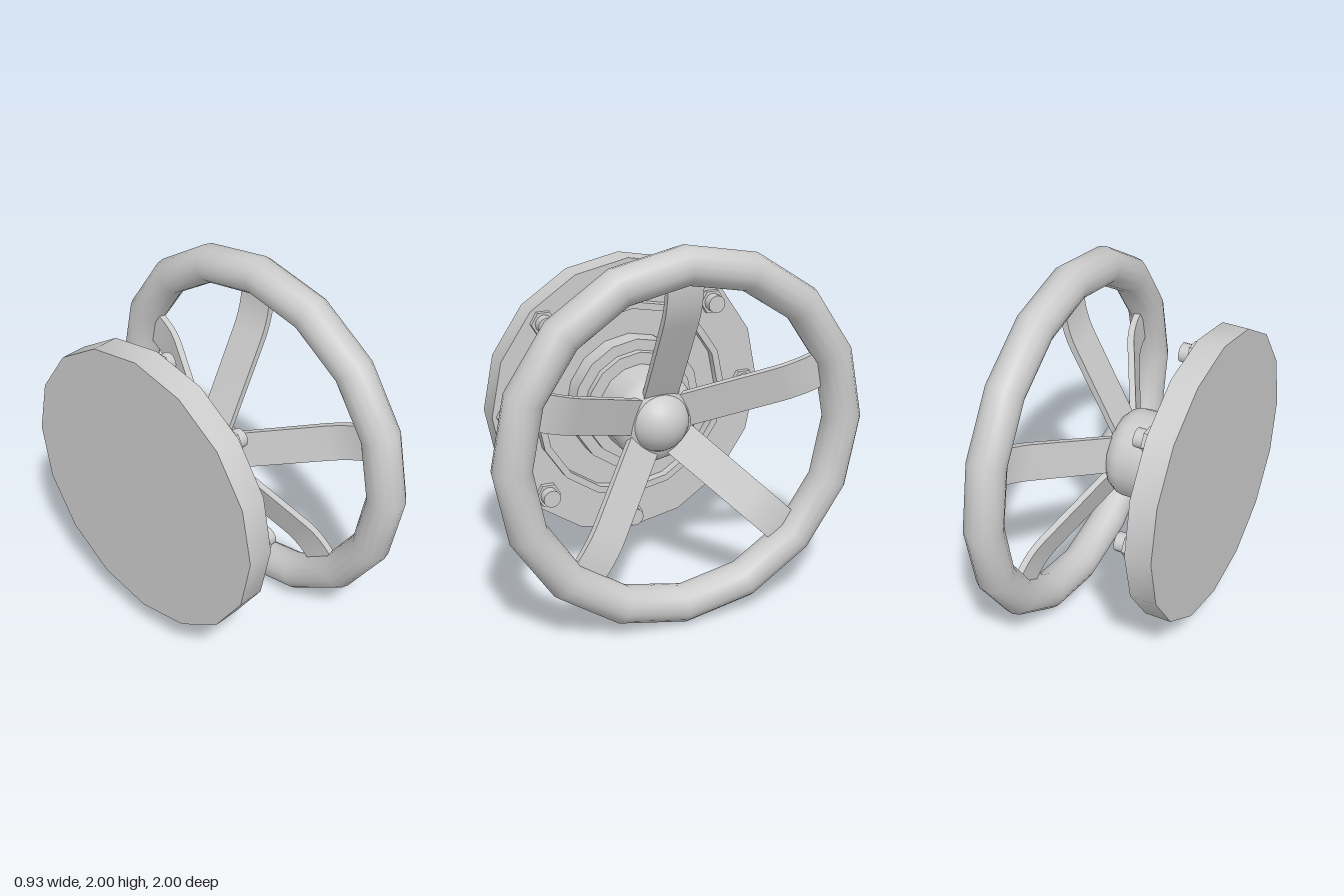
import * as THREE from 'three';
import { toCreasedNormals } from 'three/addons/utils/BufferGeometryUtils.js';

const SIDES = 16;
const deg = THREE.MathUtils.degToRad;

export function createModel() {
  const model = new THREE.Group();
  model.name = 'valveHandwheel';
  const material = new THREE.MeshStandardMaterial({ color: 0xcccccc });

  // Everything is built around the x axis, then lifted by one unit
  const assembly = new THREE.Group();
  assembly.name = 'assembly';
  assembly.position.y = 1;
  model.add(assembly);

  function add(name, geometry, parent = assembly) {
    const mesh = new THREE.Mesh(geometry, material);
    mesh.name = name;
    parent.add(mesh);
    return mesh;
  }

  // Revolve [x, radius] pairs, listed from low x to high x, around the x axis
  function turned(profile, sides = SIDES) {
    const points = profile.map(([x, r]) => new THREE.Vector2(r, x));
    const geometry = new THREE.LatheGeometry(points, sides);
    geometry.rotateZ(-Math.PI / 2);
    return toCreasedNormals(geometry, 0.6);
  }

  // Mounting flange and the raised lip on its face
  add('flange', turned([[-0.47, 0], [-0.47, 0.77], [-0.33, 0.77], [-0.33, 0]]));
  add('flangeLip', turned([[-0.34, 0.545], [-0.28, 0.545], [-0.28, 0.508], [-0.34, 0.508]]));

  // Stepped collar
  add('collar', turned([
    [-0.34, 0.36], [-0.22, 0.36], [-0.22, 0.30], [-0.18, 0.30], [-0.18, 0.2],
  ]));

  // Hub with a rounded shoulder
  add('hub', turned([
    [-0.19, 0.235], [0, 0.235], [0.03, 0.229], [0.06, 0.212],
    [0.085, 0.185], [0.098, 0.15], [0.1, 0.1], [0.1, 0],
  ]));

  // Domed nose in the middle of the spokes
  const nose = add('nose', new THREE.SphereGeometry(0.165, 24, 16));
  nose.position.x = 0.035;

  // Handwheel rim
  const rim = new THREE.TorusGeometry(0.9, 0.1, 14, SIDES);
  rim.rotateY(Math.PI / 2);
  add('rim', rim).position.x = 0.365;

  // Spoke: a flat strap leaning outwards, then bending into the rim
  const strap = new THREE.Shape();
  strap.moveTo(0.06, 0.09);
  strap.lineTo(0.315, 0.58);
  strap.quadraticCurveTo(0.375, 0.70, 0.375, 0.84);
  strap.lineTo(0.34, 0.84);
  strap.quadraticCurveTo(0.34, 0.71, 0.285, 0.60);
  strap.lineTo(0.025, 0.09);
  strap.closePath();
  const strapGeometry = new THREE.ExtrudeGeometry(strap, {
    depth: 0.19, bevelEnabled: false, curveSegments: 6,
  });
  strapGeometry.translate(0, 0, -0.095);
  const spokeGeometry = toCreasedNormals(strapGeometry, 0.5);

  // Spokes are slightly uneven around the axis
  [0, 70, 140, 225, 290].forEach((angle) => {
    add('spoke', spokeGeometry).rotation.x = deg(angle);
  });

  // Eight bolts around the flange: hexagonal nut and round stud
  const nutGeometry = turned([[-0.34, 0], [-0.34, 0.068], [-0.302, 0.068], [-0.302, 0]], 6);
  const studGeometry = turned([[-0.33, 0.048], [-0.25, 0.048], [-0.25, 0]], 14);
  for (let i = 0; i < 8; i++) {
    const bolt = new THREE.Group();
    bolt.name = 'bolt';
    const a = (i * Math.PI) / 4;
    bolt.position.set(0, 0.68 * Math.cos(a), 0.68 * Math.sin(a));
    add('nut', nutGeometry, bolt);
    add('stud', studGeometry, bolt);
    assembly.add(bolt);
  }

  return model;
}
